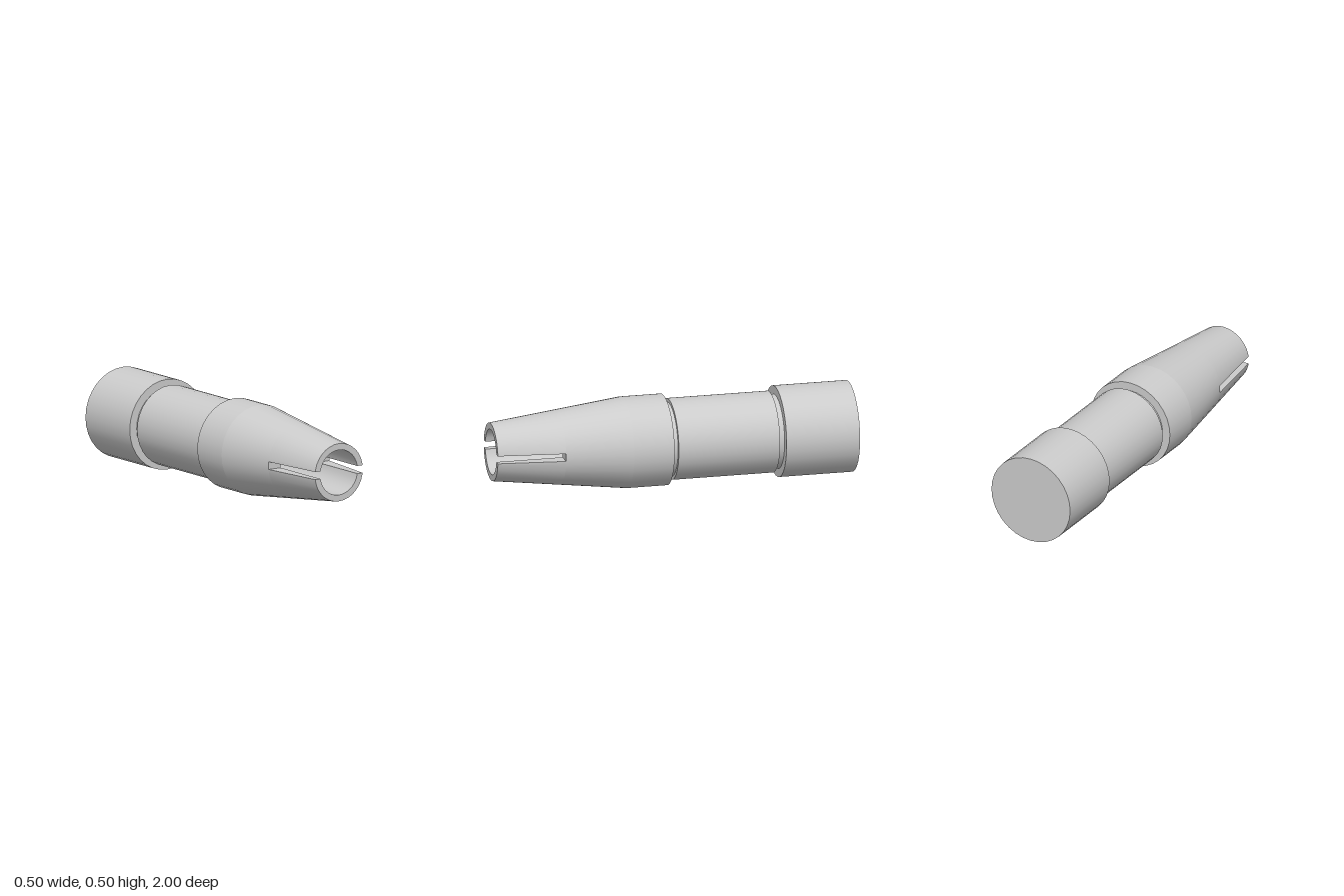
import * as THREE from 'three';

const SIDES = 32, STEP = (2 * Math.PI) / SIDES;
const SLOT_HALF = 0.021, SLOT_Z = 0.63, BORE_R = 0.125;
const SLOT_R = 0.205, TIP_R = 0.16;

// Strip of quads between two rows of points
function strip(a, b) {
  const pos = [...a, ...b].flatMap((p) => p.toArray());
  const index = [];
  const n = a.length;
  for (let i = 0; i < n - 1; i++) {
    index.push(i, i + 1, n + i + 1, i, n + i + 1, n + i);
  }
  const g = new THREE.BufferGeometry();
  g.setAttribute('position', new THREE.Float32BufferAttribute(pos, 3));
  g.setIndex(index);
  g.computeVertexNormals();
  return g;
}

// Point where the slot wall meets a 32-sided ring
function slotCorner(r, z, sx = 1, sy = 1) {
  const t = SLOT_HALF / (r * Math.sin(STEP));
  return new THREE.Vector3(sx * r * (1 - t + t * Math.cos(STEP)), sy * SLOT_HALF, z);
}

// Upper half ring, trimmed by the slot at both ends
function halfRing([r, z]) {
  const pts = [slotCorner(r, z)];
  for (let i = 1; i < SIDES / 2; i++) {
    pts.push(new THREE.Vector3(r * Math.cos(i * STEP), r * Math.sin(i * STEP), z));
  }
  pts.push(slotCorner(r, z, -1));
  return pts;
}

export function createModel() {
  const model = new THREE.Group();
  const material = new THREE.MeshStandardMaterial({ color: 0xcccccc });
  const axis = new THREE.Group();
  axis.name = 'plug';
  axis.position.y = 0.25;
  model.add(axis);

  const part = (name) => {
    const group = new THREE.Group();
    group.name = name;
    axis.add(group);
    return group;
  };
  const add = (group, geometry) => group.add(new THREE.Mesh(geometry, material));

  // Turned sections as [radius, z]; each segment keeps sharp edges
  const turned = {
    rearCollar: [[0, -1], [0.25, -1], [0.25, -0.59], [0.204, -0.59]],
    rearGroove: [[0.204, -0.59], [0.204, -0.56]],
    barrel: [[0.204, -0.56], [0.223, -0.56], [0.223, 0.005], [0.204, 0.005]],
    frontGroove: [[0.204, 0.005], [0.204, 0.035]],
    frontCollar: [[0.204, 0.035], [0.25, 0.035], [0.25, 0.26]],
    taper: [[0.25, 0.26], [SLOT_R, SLOT_Z]],
    bore: [[BORE_R, SLOT_Z], [BORE_R, 0.26], [0, 0.26]],
  };
  for (const [name, profile] of Object.entries(turned)) {
    const group = part(name);
    for (let i = 0; i < profile.length - 1; i++) {
      const pts = [profile[i], profile[i + 1]].map(([r, z]) => new THREE.Vector2(r, z));
      add(group, new THREE.LatheGeometry(pts, SIDES).rotateX(Math.PI / 2));
    }
  }

  // Two tip jaws divided by the slot, the lower one turned half round
  const rings = [[SLOT_R, SLOT_Z], [TIP_R, 1], [BORE_R, 1], [BORE_R, SLOT_Z]].map(halfRing);
  const first = rings.map((r) => r[0]);
  const last = rings.map((r) => r[r.length - 1]);
  const floorRow = (r) => [
    slotCorner(r, SLOT_Z, 1, -1), new THREE.Vector3(r, 0, SLOT_Z), slotCorner(r, SLOT_Z),
  ];
  for (const [name, turn] of [['upperJaw', 0], ['lowerJaw', Math.PI]]) {
    const jaw = part(name);
    jaw.rotation.z = turn;
    for (let i = 0; i < 3; i++) add(jaw, strip(rings[i], rings[i + 1]));
    // slot walls
    add(jaw, strip([first[0], first[1]], [first[3], first[2]]));
    add(jaw, strip([last[3], last[2]], [last[0], last[1]]));
    // closed end of the slot
    add(jaw, strip(floorRow(SLOT_R), floorRow(BORE_R)));
  }
  return model;
}
